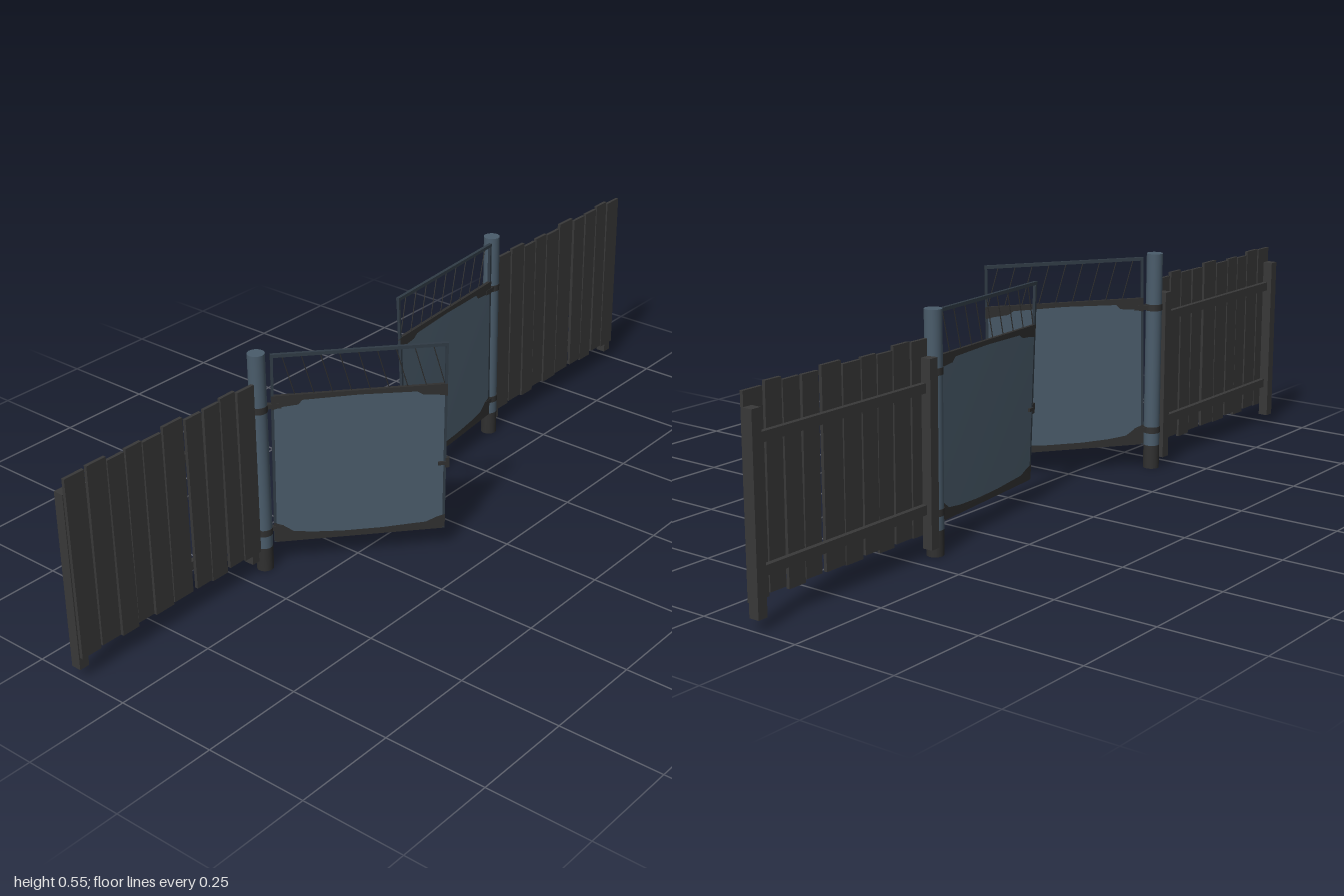
import * as THREE from 'three';

const mat = (name, color, side = THREE.FrontSide) => {
  const m = new THREE.MeshStandardMaterial({ color, side });
  m.name = name;
  return m;
};

export function createModel() {
  const steel = mat('blue steel', 0x4a5c6b);
  const frameSteel = mat('dark blue steel', 0x303b45);
  const wood = mat('dark wood', 0x383838);
  const worn = mat('worn metal', 0x303030);
  const wornPatch = mat('worn patch', 0x303030, THREE.DoubleSide);

  const model = new THREE.Group();
  model.name = 'gateAndFence';

  const add = (parent, name, geo, material, x = 0, y = 0, z = 0) => {
    const mesh = new THREE.Mesh(geo, material);
    mesh.name = name;
    mesh.position.set(x, y, z);
    parent.add(mesh);
    return mesh;
  };
  const box = (parent, name, material, w, h, d, x, y, z) =>
    add(parent, name, new THREE.BoxGeometry(w, h, d), material, x, y, z);

  // Fence panel: offset, width, bottom, top and lean of each board
  const boards = [
    [-0.248, 0.053, 0.055, 0.488, 0.003], [-0.189, 0.052, 0.058, 0.491, -0.003],
    [-0.136, 0.046, 0.052, 0.481, 0.006], [-0.087, 0.045, 0.06, 0.485, -0.004],
    [-0.034, 0.053, 0.054, 0.481, 0.004], [0.026, 0.057, 0.057, 0.491, -0.003],
    [0.088, 0.047, 0.058, 0.482, 0.008], [0.141, 0.047, 0.052, 0.483, -0.006],
    [0.192, 0.045, 0.06, 0.49, 0.007], [0.247, 0.052, 0.054, 0.482, -0.003],
  ];
  const buildFence = (name, x) => {
    const fence = new THREE.Group();
    fence.name = name;
    fence.position.x = x;
    boards.forEach(([bx, w, low, high, lean], i) => {
      const z = -0.123 - (i % 2) * 0.001;
      box(fence, 'board', wood, w, high - low, 0.008, bx, (high + low) / 2, z).rotation.z = lean;
    });
    for (const y of [0.115, 0.385]) box(fence, 'rail', wood, 0.53, 0.022, 0.012, 0, y, -0.134);
    for (const s of [-1, 1]) box(fence, 'fencePost', wood, 0.025, 0.425, 0.025, s * 0.264, 0.2375, -0.14);
    model.add(fence);
  };
  buildFence('rightFence', -0.7225);
  buildFence('leftFence', 0.7225);

  // Round gate posts with worn feet and hinge collars
  for (const s of [-1, 1]) {
    const post = new THREE.Group();
    post.name = 'gatePost';
    post.position.set(s * 0.43, 0, -0.128);
    add(post, 'postShaft', new THREE.CylinderGeometry(0.02, 0.02, 0.49, 24), steel, 0, 0.305, 0);
    add(post, 'postFoot', new THREE.CylinderGeometry(0.02, 0.02, 0.06, 24), worn, 0, 0.03, 0);
    for (const y of [0.1, 0.415])
      add(post, 'hingeCollar', new THREE.CylinderGeometry(0.0212, 0.0212, 0.016, 24), worn, 0, y, 0);
    model.add(post);
  }

  // Worn areas along the lower and upper edges of the sheet
  const wornOutlines = [
    [[0, 0.066], [0.4, 0.066], [0.4, 0.1], [0.38, 0.095], [0.355, 0.084], [0.31, 0.082], [0.25, 0.079],
      [0.16, 0.079], [0.09, 0.083], [0.045, 0.089], [0.02, 0.107], [0, 0.115]],
    [[0, 0.434], [0, 0.405], [0.025, 0.412], [0.06, 0.415], [0.07, 0.426], [0.2, 0.429], [0.33, 0.426],
      [0.345, 0.417], [0.38, 0.414], [0.4, 0.41], [0.4, 0.434]],
  ];

  // Gate leaf: x runs from the hinge to the free edge, bent slightly by sag and twist
  const buildGate = (name, x, z, angle, sag, twist) => {
    const gate = new THREE.Group();
    gate.name = name;
    gate.position.set(x, 0, z);
    gate.rotation.y = angle;
    const bend = (geo) => {
      const p = geo.attributes.position;
      for (let i = 0; i < p.count; i++) {
        const u = p.getX(i), y = p.getY(i);
        p.setXYZ(i, u + sag * (y - 0.3), y - sag * u, p.getZ(i) + twist * (u / 0.4) * ((y - 0.3) / 0.48));
      }
      geo.computeVertexNormals();
      return geo;
    };
    const bar = (part, material, w, h, d, bx, by, bz = 0) =>
      add(gate, part, bend(new THREE.BoxGeometry(w, h, d, 4, 4, 1).translate(bx, by, bz)), material);

    bar('sheet', steel, 0.396, 0.37, 0.004, 0.2, 0.25);
    bar('bottomRail', worn, 0.4, 0.006, 0.007, 0.2, 0.066);
    bar('middleRail', worn, 0.4, 0.008, 0.008, 0.2, 0.436);
    bar('topRail', frameSteel, 0.4, 0.008, 0.008, 0.2, 0.538);
    for (const u of [0.003, 0.397]) bar('upright', frameSteel, 0.006, 0.479, 0.007, u, 0.3025);

    // Slanted thin rods above the sheet
    for (let i = 0; i < 9; i++) {
      const u = 0.026 + i * 0.0425;
      const path = new THREE.LineCurve3(new THREE.Vector3(u + 0.028, 0.438, 0), new THREE.Vector3(u, 0.536, 0));
      add(gate, 'slantedRod', bend(new THREE.TubeGeometry(path, 2, 0.0013, 6)), worn);
    }

    for (const outline of wornOutlines) {
      const shape = new THREE.Shape(outline.map(([a, b]) => new THREE.Vector2(a, b)));
      for (const s of [-1, 1])
        add(gate, 'wornPatch', bend(new THREE.ShapeGeometry(shape).translate(0, 0, s * 0.0037)), wornPatch);
    }

    // Latch at the free edge and hinge straps on the post side
    bar('latch', worn, 0.01, 0.025, 0.008, 0.403, 0.237);
    bar('latchHandle', worn, 0.018, 0.008, 0.014, 0.39, 0.237);
    for (const y of [0.1, 0.415]) bar('hingeStrap', worn, 0.04, 0.012, 0.009, 0.003, y);
    model.add(gate);
  };
  buildGate('rightGate', -0.406, -0.114, -0.706, 0.016, 0);
  buildGate('leftGate', 0.407, -0.114, Math.PI + 0.09, 0.004, 0.016);

  return model;
}
